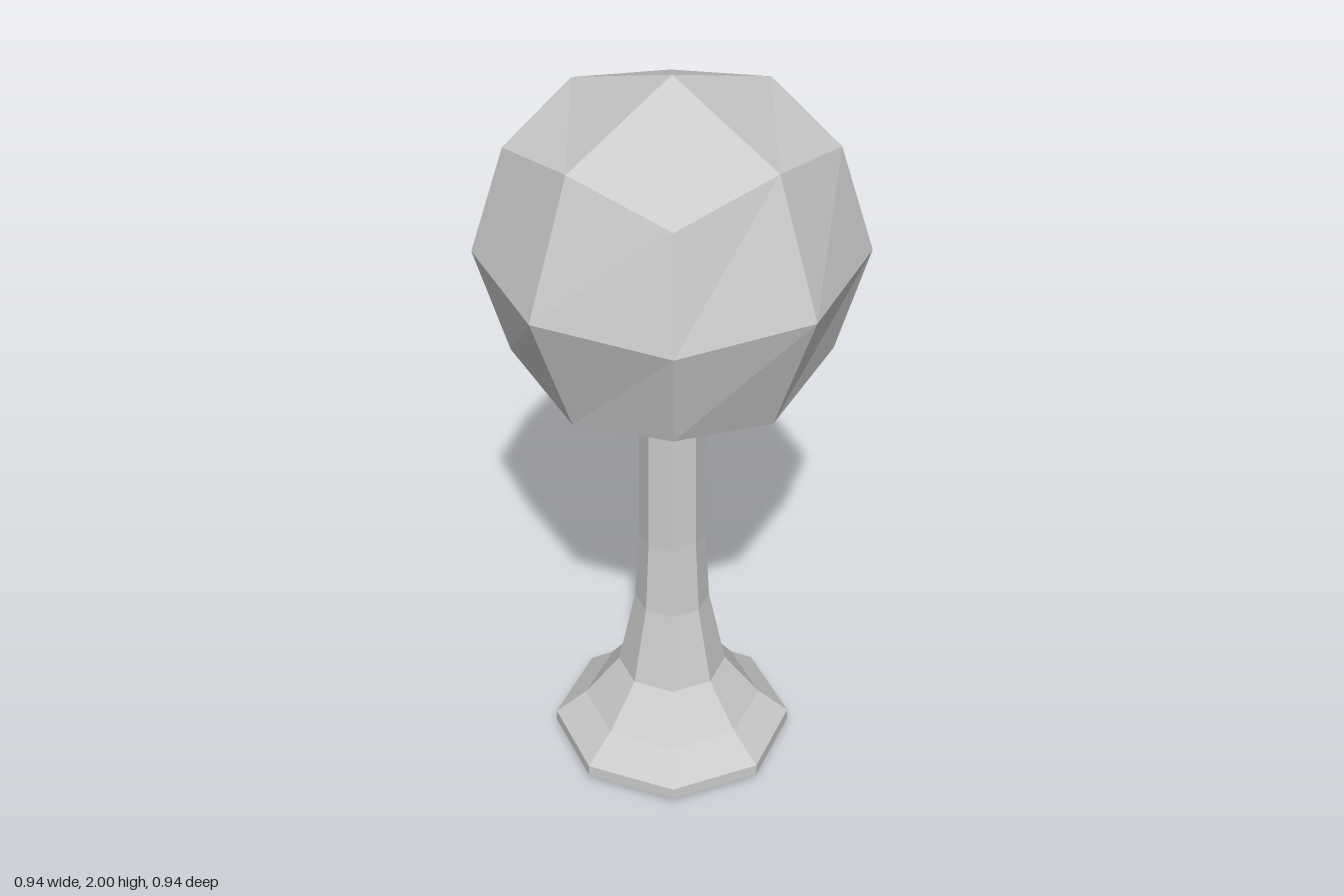
import * as THREE from 'three';

export function createModel() {
  const model = new THREE.Group();
  const material = new THREE.MeshStandardMaterial({ color: 0xcccccc, flatShading: true });

  const addPart = (name, geometry, y = 0) => {
    const mesh = new THREE.Mesh(geometry, material);
    mesh.name = name;
    mesh.position.y = y;
    model.add(mesh);
  };

  // Flared eight-sided stem with a rim and a shallow domed underside
  const profile = [
    [0, 0], [0.19, 0.01], [0.317, 0.028], [0.317, 0.06], [0.235, 0.13],
    [0.143, 0.25], [0.098, 0.47], [0.087, 0.68], [0.083, 1.13], [0, 1.13],
  ].map(([r, y]) => new THREE.Vector2(r, y));
  addPart('stem', new THREE.LatheGeometry(profile, 8));

  // Rounded cube head: face centres, edge midpoints and corners each get their own reach
  const reach = [0, 0.471, 0.343, 0.283];
  const head = new THREE.BoxGeometry(2, 2, 2, 2, 2, 2);
  const pos = head.attributes.position;
  const v = new THREE.Vector3();
  for (let i = 0; i < pos.count; i++) {
    v.fromBufferAttribute(pos, i).round();
    v.multiplyScalar(reach[Math.abs(v.x) + Math.abs(v.y) + Math.abs(v.z)]);
    pos.setXYZ(i, v.x, v.y, v.z);
  }
  head.computeVertexNormals();
  addPart('head', head, 1.529);

  return model;
}
